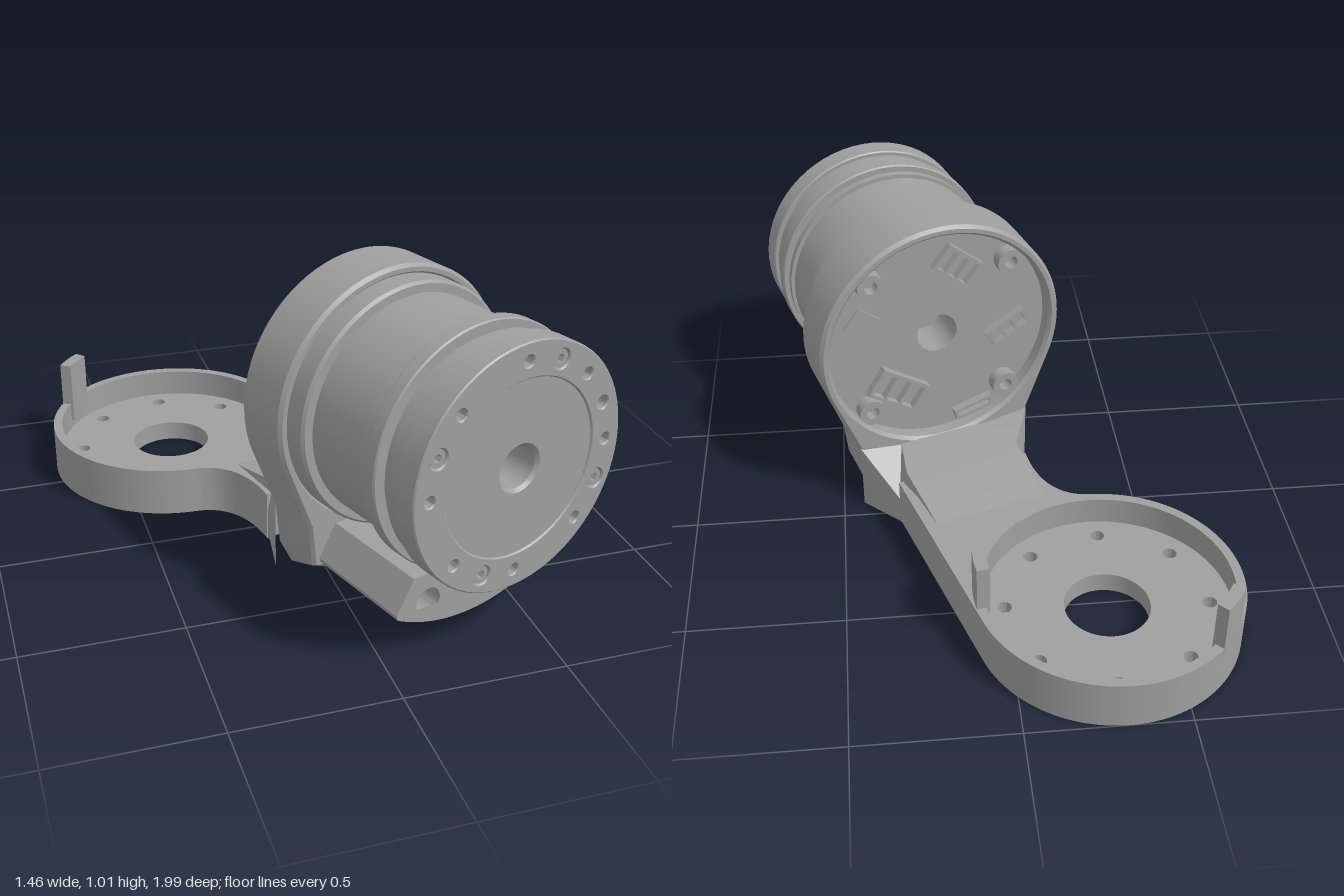
import * as THREE from 'three';
import { toCreasedNormals } from 'three/addons/utils/BufferGeometryUtils.js';

const AXIS_Y = 0.595;          // height of the motor axis
const FX = -0.31, FZ = -0.58;  // centre of the mounting flange

export function createModel() {
  const grey = new THREE.MeshStandardMaterial({ color: 0x9f9f9f });
  grey.name = 'machined grey';
  const model = new THREE.Group();
  model.name = 'motorBracket';

  const add = (parent, name, geo) => {
    const mesh = new THREE.Mesh(toCreasedNormals(geo, 0.5), grey);
    mesh.name = name;
    parent.add(mesh);
    return mesh;
  };
  const circle = (x, y, r) => new THREE.Path().absarc(x, y, r, 0, Math.PI * 2, false);
  const disc = (x, y, r) => new THREE.Shape().absarc(x, y, r, 0, Math.PI * 2, false);
  const extrude = (shape, depth, extra = {}) =>
    new THREE.ExtrudeGeometry(shape, { depth, bevelEnabled: false, curveSegments: 40, ...extra });
  // plan shapes are drawn in x and z, then extruded between two heights
  const plan = (shape, y0, y1) => extrude(shape, y1 - y0).rotateX(Math.PI / 2).translate(0, y1, 0);

  // flange wall and arm in one outline
  const outline = new THREE.Shape();
  outline.absarc(FX, FZ, 0.42, -0.318, -Math.PI * 1.5, true);
  outline.quadraticCurveTo(-0.16, -0.15, -0.13, 0.08);
  outline.lineTo(0.31, -0.04);
  outline.closePath();
  outline.holes.push(circle(FX, FZ, 0.39));
  add(model, 'flangeAndArm', plan(outline, 0, 0.165));

  // flange floor with bore and bolt circle
  const floor = disc(FX, FZ, 0.4);
  floor.holes.push(circle(FX, FZ, 0.135));
  for (let i = 0; i < 8; i++) {
    const a = -1.51 + i * Math.PI / 4;
    floor.holes.push(circle(FX + 0.32 * Math.cos(a), FZ + 0.32 * Math.sin(a), 0.023));
  }
  add(model, 'flangeFloor', plan(floor, 0.002, 0.07));

  // two upright locating tabs on the flange rim
  for (const a of [-0.05, -2.46]) {
    const tab = new THREE.Shape();
    tab.absarc(FX, FZ, 0.42, a - 0.135, a + 0.135, false);
    tab.absarc(FX, FZ, 0.38, a + 0.135, a - 0.135, true);
    add(model, 'locatingTab', plan(tab, 0.1, 0.32));
  }

  // everything below is built along the motor axis (+z), from the housing back
  const head = new THREE.Group();
  head.name = 'motorHead';
  head.position.set(0.14, AXIS_Y, 0.155);
  head.rotation.y = 0.31;
  model.add(head);

  // rising arm root, flared where it meets the housing
  // [z, centre x, half width, shoulder y, top half width, top y]
  const sections = [
    [-0.386, -0.01, 0.19, 0.1, 0.19, 0.164],
    [-0.14, -0.005, 0.228, 0.1, 0.2, 0.205],
    [0.003, 0, 0.305, 0.235, 0.16, 0.215],
  ].map(([z, cx, w, mid, t, top]) =>
    [[-w, 0], [w, 0], [w, mid], [t, top], [-t, top], [-w, mid]].map(([x, y]) => [cx + x, y - AXIS_Y, z]));
  const pos = [];
  for (let s = 0; s < sections.length - 1; s++) {
    for (let i = 0; i < 6; i++) {
      const j = (i + 1) % 6;
      const [a, b, c, d] = [sections[s][i], sections[s][j], sections[s + 1][j], sections[s + 1][i]];
      pos.push(...a, ...b, ...c, ...a, ...c, ...d);
    }
  }
  const root = new THREE.BufferGeometry();
  root.setAttribute('position', new THREE.Float32BufferAttribute(pos, 3));
  root.computeVertexNormals();
  add(head, 'armRoot', root);

  // round housing on a tapered foot, its underside rising to the front
  const hs = new THREE.Shape();
  const ha = Math.atan2(-0.145, 0.395);
  hs.absarc(0, 0, 0.42, ha, Math.PI - ha, false);
  hs.lineTo(-0.31, -0.36);
  hs.lineTo(-0.295, -0.5);
  hs.lineTo(-0.25, -AXIS_Y);
  hs.lineTo(0.25, -AXIS_Y);
  hs.lineTo(0.295, -0.5);
  hs.lineTo(0.31, -0.36);
  hs.closePath();
  hs.holes.push(circle(0, 0, 0.386));
  const housing = extrude(hs, 0.176, {
    bevelEnabled: true, bevelSize: 0.01, bevelOffset: -0.01, bevelThickness: 0.012, bevelSegments: 1,
  }).translate(0, 0, 0.012);
  const hp = housing.attributes.position;
  for (let i = 0; i < hp.count; i++) {
    if (hp.getY(i) < -0.55) hp.setY(i, hp.getY(i) + 0.08 * hp.getZ(i) / 0.2);
  }
  add(head, 'housing', housing);

  // motor body with grooves and rings, blind bores at both ends
  const profile = [
    [0, 0.2], [0.07, 0.2], [0.07, 0.055], [0.39, 0.055], [0.39, 0.262], [0.382, 0.272],
    [0.355, 0.272], [0.355, 0.5], [0.345, 0.5], [0.345, 0.508], [0.365, 0.508], [0.365, 0.532],
    [0.35, 0.532], [0.35, 0.545], [0.378, 0.545], [0.382, 0.55], [0.382, 0.588], [0.378, 0.593],
    [0.345, 0.593], [0.345, 0.62], [0.362, 0.62], [0.362, 0.69], [0.275, 0.69], [0.275, 0.75],
    [0.075, 0.75], [0.065, 0.74], [0.06, 0.62], [0, 0.6],
  ].map(([r, z]) => new THREE.Vector2(r, z));
  add(head, 'motorBody', new THREE.LatheGeometry(profile, 80).rotateX(Math.PI / 2));

  // output flange with its bolt holes and four socket screws
  const ring = disc(0, 0, 0.374);
  ring.holes.push(circle(0, 0, 0.273));
  const at = (deg, r) => [r * Math.cos(deg * Math.PI / 180), r * Math.sin(deg * Math.PI / 180)];
  const screwAngles = [68, 158, 248, 338];
  for (let i = 0; i < 8; i++) ring.holes.push(circle(...at(i * 45, 0.322), 0.021));
  ring.holes.push(circle(...at(22, 0.322), 0.024));
  for (const deg of screwAngles) {
    const [x, y] = at(deg, 0.322);
    ring.holes.push(circle(x, y, 0.033));
    const screw = disc(x, y, 0.027);
    const hex = new THREE.Path();
    for (let k = 0; k < 6; k++) {
      const [hx, hy] = at(k * 60, 0.014);
      hex[k ? 'lineTo' : 'moveTo'](x + hx, y + hy);
    }
    hex.closePath();
    screw.holes.push(hex);
    add(head, 'flangeScrew', extrude(screw, 0.06, { curveSegments: 10 }).translate(0, 0, 0.69));
  }
  add(head, 'outputFlange', extrude(ring, 0.075, {
    bevelEnabled: true, bevelSize: 0.004, bevelThickness: 0.004, bevelSegments: 1, bevelOffset: 0,
    curveSegments: 32,
  }).translate(0, 0, 0.677));

  // block under the motor with two lengthwise holes
  const block = new THREE.Shape();
  const ba = Math.atan2(-0.49, 0.27);
  block.absarc(0, 0, 0.56, -Math.PI - ba, ba, false);
  block.lineTo(0.275, -0.475);
  block.lineTo(0.215, -0.37);
  block.lineTo(-0.215, -0.37);
  block.lineTo(-0.275, -0.475);
  block.closePath();
  for (const s of [-1, 1]) block.holes.push(circle(s * 0.158, -0.466, 0.044));
  add(head, 'supportBlock', extrude(block, 0.42).translate(0, 0, 0.16));

  // screw lugs inside the back of the housing
  for (const deg of [47, 137, 227, 317]) {
    const [x, y] = at(deg, 0.342);
    const lug = disc(x, y, 0.046);
    lug.holes.push(circle(x, y, 0.022));
    add(head, 'screwLug', extrude(lug, 0.042, { curveSegments: 12 }).translate(0, 0, 0.014));
  }

  // open connectors on the back board: x, y, width, height, turn, number of pockets
  for (const [x, y, w, h, turn, n] of [
    [-0.07, 0.25, 0.15, 0.1, 0.7, 3], [-0.25, -0.03, 0.15, 0.07, -0.5, 3],
    [0.15, -0.18, 0.19, 0.11, 0.6, 3], [-0.12, -0.325, 0.14, 0.04, -0.25, 1],
  ]) {
    const c = new THREE.Shape([[-w, -h], [w, -h], [w, h], [-w, h]].map(([a, b]) => new THREE.Vector2(a / 2, b / 2)));
    const step = (w - 0.012) / n;
    for (let i = 0; i < n; i++) {
      const x0 = -w / 2 + 0.012 + i * step, x1 = x0 + step - 0.012, y1 = h / 2 - 0.012;
      c.holes.push(new THREE.Path([[x0, -y1], [x0, y1], [x1, y1], [x1, -y1]].map(([a, b]) => new THREE.Vector2(a, b))));
    }
    const m = add(head, 'connector', extrude(c, 0.03));
    m.position.set(x, y, 0.027);
    m.rotation.z = turn;
  }
  const chip = add(head, 'chip', new THREE.BoxGeometry(0.09, 0.09, 0.012));
  chip.position.set(0.26, 0.1, 0.052);
  chip.rotation.z = 0.7;

  return model;
}
